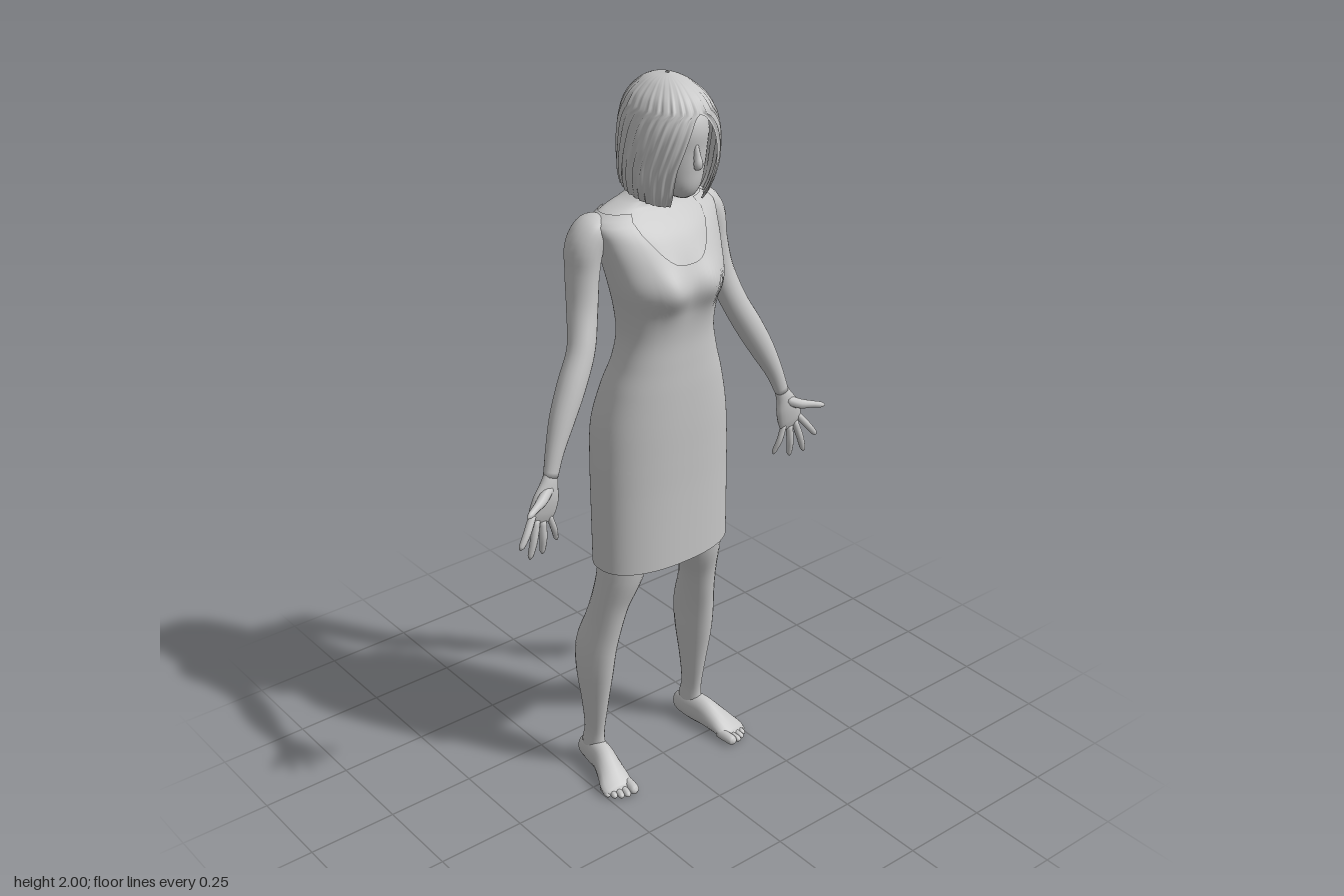
import * as THREE from 'three';

const grey = new THREE.MeshStandardMaterial({ color: 0xc6c6c6, side: THREE.DoubleSide });
grey.name = 'plain grey';

const lerp = THREE.MathUtils.lerp, clamp = THREE.MathUtils.clamp;
const V = (x, y, z) => new THREE.Vector3(x, y, z);

// Smooth lookup in a table of rows [key, a, b, c...]
function at(table, k) {
  const n = table.length;
  k = clamp(k, table[0][0], table[n - 1][0]);
  let i = 0;
  while (i < n - 2 && k > table[i + 1][0]) i++;
  const p = table[i], q = table[i + 1], h = q[0] - p[0], t = (k - p[0]) / h;
  const o = table[Math.max(i - 1, 0)], r = table[Math.min(i + 2, n - 1)];
  return p.slice(1).map((v, c) => {
    c++;
    const m0 = (q[c] - o[c]) / (q[0] - o[0]) * h, m1 = (r[c] - p[c]) / (r[0] - p[0]) * h;
    const t2 = t * t, t3 = t2 * t;
    return v * (2 * t3 - 3 * t2 + 1) + m0 * (t3 - 2 * t2 + t) + q[c] * (3 * t2 - 2 * t3) + m1 * (t3 - t2);
  });
}

// Surface from rings: fn(t, angle) gives a point, rings run along t
function surface(name, rows, cols, fn, { open = false, caps = true } = {}) {
  const pos = [], idx = [], w = open ? cols + 1 : cols;
  for (let i = 0; i <= rows; i++)
    for (let j = 0; j < w; j++) pos.push(...fn(i / rows, j / cols * Math.PI * 2).toArray());
  for (let i = 0; i < rows; i++)
    for (let j = 0; j < cols; j++) {
      const k = (j + 1) % w, a = i * w + j, b = i * w + k, c = b + w, d = a + w;
      idx.push(a, b, c, a, c, d);
    }
  if (caps) for (const row of [0, rows]) {
    const mid = V(0, 0, 0), centre = pos.length / 3;
    for (let j = 0; j < w; j++) mid.add(V(...pos.slice((row * w + j) * 3, (row * w + j) * 3 + 3)));
    pos.push(...mid.divideScalar(w).toArray());
    for (let j = 0; j < cols; j++) {
      const a = row * w + j, b = row * w + (j + 1) % w;
      row ? idx.push(a, b, centre) : idx.push(b, a, centre);
    }
  }
  const g = new THREE.BufferGeometry();
  g.setAttribute('position', new THREE.Float32BufferAttribute(pos, 3));
  g.setIndex(idx);
  g.computeVertexNormals();
  const mesh = new THREE.Mesh(g, grey);
  mesh.name = name;
  return mesh;
}

// Limb through stations [x, y, z, side radius, radius along ref]; side mirrors x
function limb(name, stations, side = 1, ref = V(0, 0, 1), rows = 30, cols = 18) {
  const path = new THREE.CatmullRomCurve3(stations.map(s => V(s[0] * side, s[1], s[2])));
  const radii = stations.map((s, i) => [i, s[3], s[4]]), last = stations.length - 1;
  return surface(name, rows, cols, (t, a) => {
    const T = path.getTangent(t), B = ref.clone().addScaledVector(T, -ref.dot(T)).normalize();
    const A = B.clone().cross(T), [ra, rb] = at(radii, t * last);
    return path.getPoint(t).addScaledVector(A, ra * Math.cos(a)).addScaledVector(B, rb * Math.sin(a));
  });
}

// Horizontal section point: half width, front z, back z; angle 0 is the front
function section(y, a, [hw, zf, zb], power, off = 0) {
  const s = Math.sin(a), c = Math.cos(a), e = 2 / power;
  const x = Math.sign(s) * Math.abs(s) ** e, z = Math.sign(c) * Math.abs(c) ** e;
  return V(x * (hw + off), y, (zf + zb) / 2 + z * ((zf - zb) / 2 + off));
}

// Body: [y, half width, front z, back z]
const BODY = [
  [0.69, .202, .095, -.122], [0.9, .202, .096, -.128], [1.0, .2, .098, -.133], [1.1, .192, .1, -.136],
  [1.2, .168, .1, -.115], [1.27, .145, .098, -.092], [1.34, .132, .097, -.082], [1.41, .138, .105, -.086],
  [1.48, .152, .12, -.1], [1.54, .162, .1, -.113], [1.6, .172, .066, -.12], [1.64, .178, .03, -.12],
  [1.66, .15, .008, -.117], [1.675, .105, -.002, -.11], [1.69, .066, .002, -.102], [1.72, .049, .015, -.08],
  [1.78, .047, .03, -.07],
];
function bodyPoint(y, a, off) {
  const p = section(y, a, at(BODY, y), 2.3, off);
  const bump = (x, yy, r) => Math.exp(-(((Math.abs(p.x) - x) / r) ** 2) - ((y - yy) / (r * 1.2)) ** 2);
  if (Math.cos(a) > 0) p.z += .024 * Math.cos(a) * bump(.07, 1.48, .05);
  else p.z += .008 * Math.cos(a) * bump(.08, 1.04, .07);
  return p;
}

// Dress edge height: scoops at front and back, shoulder height elsewhere
function dressTop(a) {
  const f = Math.min(a, Math.PI * 2 - a), b = Math.PI - f;
  const front = 1.54 + .12 * (f / .62) ** 2.4, back = 1.49 + .17 * (b / .72) ** 2;
  return Math.min(1.662, f < 1.5 ? front : back);
}

// Hair: [y, half width, front z, back z]
const HAIR = [
  [1.69, .088, .098, -.088], [1.72, .102, .118, -.1], [1.76, .112, .135, -.108], [1.8, .114, .148, -.112],
  [1.85, .112, .155, -.113], [1.9, .104, .15, -.11], [1.95, .083, .124, -.091], [1.98, .053, .086, -.06],
  [1.993, .03, .055, -.032], [2.0, .004, .022, .01],
];
function hairPoint(t, a0) {
  const bottom = 1.693 + .045 * (1 - Math.cos(a0)) / 2;
  const y = lerp(bottom, 2, Math.sin(t * Math.PI / 2));
  const gap = .54 * Math.sqrt(clamp((1.925 - y) / .13, 0, 1));
  const a = gap + a0 * (1 - gap / Math.PI);
  const strands = .0022 * Math.sin(a0 * 31 + 3 * Math.sin(y * 9)) + .0012 * Math.sin(a0 * 53);
  return section(y, a, at(HAIR, y), 2.15, strands * clamp((2 - y) / .08, 0, 1));
}

// Face and skull: [y, half width, front z, back z]
const HEAD = [
  [1.708, .018, .092, .04], [1.716, .036, .105, .0], [1.74, .058, .117, -.05], [1.78, .074, .122, -.08],
  [1.83, .083, .126, -.09], [1.88, .085, .13, -.09], [1.92, .074, .115, -.08], [1.955, .04, .07, -.04],
];

function arm(side) {
  const g = new THREE.Group();
  g.name = side > 0 ? 'leftArm' : 'rightArm';
  g.add(limb('armAndWrist', [
    [.13, 1.63, -.065, .02, .03], [.165, 1.622, -.065, .042, .05], [.193, 1.585, -.066, .046, .054],
    [.205, 1.52, -.062, .04, .05], [.22, 1.43, -.045, .038, .042], [.248, 1.34, -.015, .036, .036],
    [.29, 1.26, .0, .037, .037], [.33, 1.185, .012, .033, .033], [.365, 1.11, .025, .024, .024],
    [.386, 1.05, .034, .02, .017],
  ], side, undefined, 44, 20));
  g.add(limb('palm', [
    [.38, 1.065, .032, .018, .014], [.392, 1.035, .036, .025, .017], [.404, 1.0, .038, .038, .017],
    [.416, .962, .036, .041, .014], [.422, .938, .034, .034, .009], [.424, .93, .034, .02, .004],
  ], side));
  // Fingers from index to little: knuckle and tip
  [[.446, .96, .5, .89, .055], [.434, .946, .465, .846, .045], [.416, .937, .42, .842, .036], [.396, .944, .368, .86, .028]]
    .forEach(([x, y, tx, ty, tz], i) => {
      const r = i === 3 ? .0085 : .01;
      g.add(limb('finger', [
        [x, y, .036, r, r], [lerp(x, tx, .5), lerp(y, ty, .5), lerp(.036, tz, .5) + .004, r, r],
        [lerp(x, tx, .9), lerp(y, ty, .9), tz, r * .75, r * .75], [tx, ty, tz, .002, .002],
      ], side, undefined, 12, 10));
    });
  g.add(limb('thumb', [
    [.395, 1.025, .04, .014, .014], [.43, 1.008, .058, .014, .014], [.462, 1.003, .075, .01, .01],
    [.486, .998, .086, .008, .008], [.496, .995, .09, .002, .002],
  ], side, undefined, 14, 10));
  return g;
}

function leg(side) {
  const g = new THREE.Group(), up = V(0, 1, 0);
  g.name = side > 0 ? 'leftLeg' : 'rightLeg';
  g.add(limb('legAndAnkle', [
    [.1, .95, -.015, .08, .09], [.115, .8, -.012, .074, .08], [.134, .66, -.016, .063, .066],
    [.152, .57, -.035, .05, .057], [.163, .49, -.055, .045, .061], [.174, .4, -.078, .046, .07],
    [.177, .32, -.083, .043, .064], [.177, .21, -.084, .031, .046], [.177, .12, -.088, .023, .036],
    [.177, .07, -.092, .026, .042], [.177, .035, -.092, .024, .036],
  ], side, undefined, 44, 22));
  g.add(limb('foot', [
    [.174, .03, -.148, .01, .012], [.174, .035, -.135, .026, .03], [.177, .044, -.09, .032, .044],
    [.184, .045, -.04, .033, .045], [.195, .034, .005, .039, .034], [.206, .021, .045, .046, .021],
    [.212, .014, .065, .043, .014], [.214, .012, .074, .03, .007],
  ], side, up));
  // Toes from big to little
  for (let i = 0; i < 5; i++) {
    const r = i ? .0105 - i * .0004 : .015, x = [.178, .2, .217, .232, .244][i], z = .106 - i * i * .0023;
    g.add(limb('toe', [
      [x - .004, r + .003, .045 - i * .004, r, r], [x, r + .002, z - .02, r, r],
      [x + .002, r, z - .006, r * .85, r * .8], [x + .002, r, z, r * .25, r * .25],
    ], side, up, 10, 10));
  }
  return g;
}

export function createModel() {
  const model = new THREE.Group();
  model.name = 'standingWoman';

  model.add(surface('torsoAndNeck', 80, 56, (t, a) => bodyPoint(lerp(.88, 1.78, t), a, -.002)));
  model.add(surface('dress', 80, 96, (t, a) => bodyPoint(lerp(.69, dressTop(a), t), a, .003), { caps: false }));

  const head = new THREE.Group();
  head.name = 'head';
  head.add(surface('face', 30, 36, (t, a) => {
    const y = lerp(1.708, 1.955, t);
    return section(y, a, at(HEAD, y), 2.1);
  }));
  head.add(limb('nose', [
    [0, 1.85, .122, .006, .006], [0, 1.82, .129, .009, .009], [0, 1.8, .133, .012, .011], [0, 1.79, .126, .007, .006],
  ], 1, undefined, 12, 12));
  head.add(surface('bobbedHair', 40, 200, hairPoint, { open: true, caps: false }));
  model.add(head);

  for (const side of [1, -1]) model.add(arm(side), leg(side));
  return model;
}
